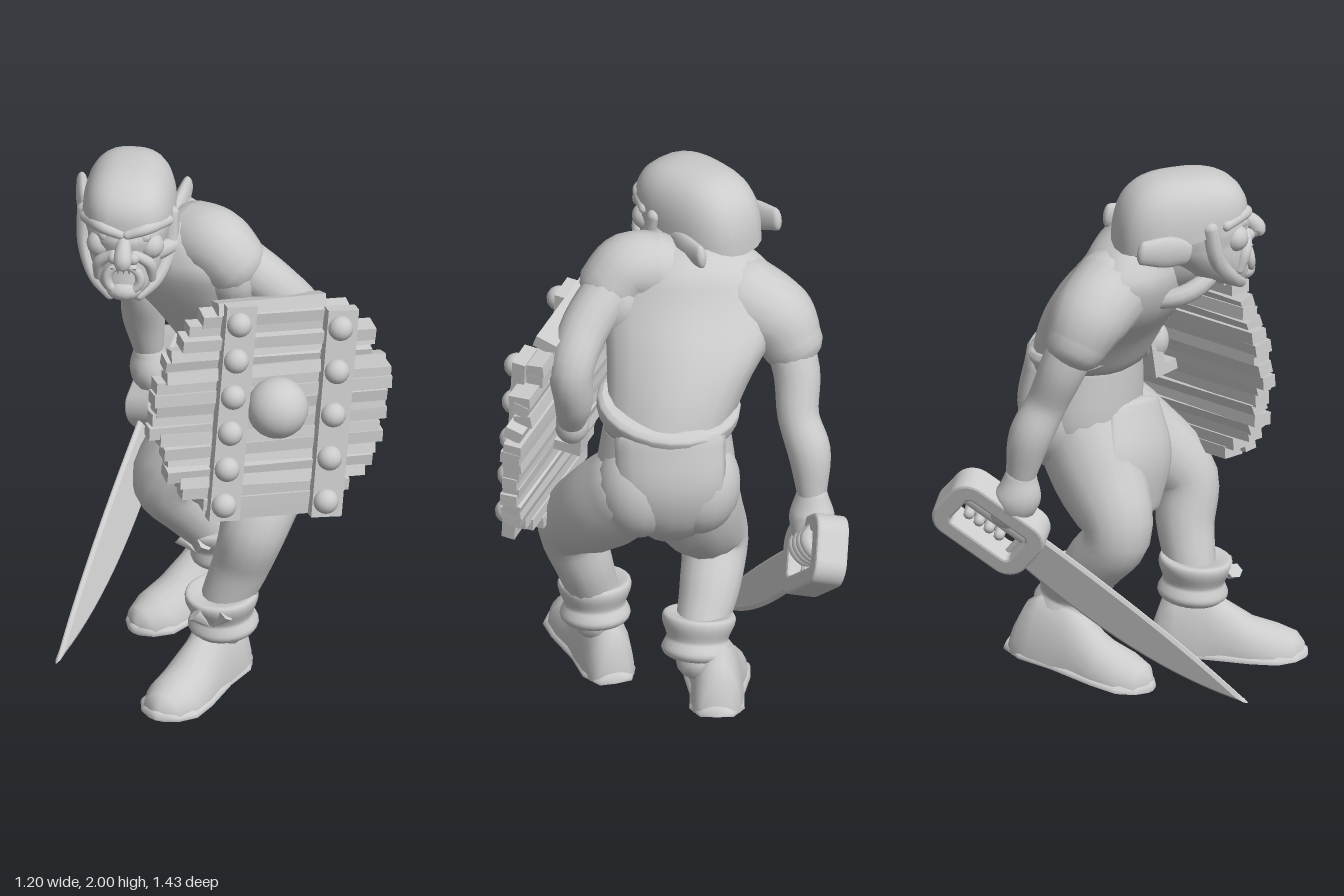
import * as THREE from 'three';

const V = (x, y, z) => new THREE.Vector3(x, y, z);
const material = new THREE.MeshStandardMaterial({ color: 0xcccccc, side: THREE.DoubleSide });
const BODY_YAW = -0.72;

function add(parent, name, geo, pos = [0, 0, 0], rot = [0, 0, 0], scale = [1, 1, 1]) {
  const m = new THREE.Mesh(geo, material);
  m.name = name;
  m.position.set(...pos);
  m.rotation.set(...rot);
  m.scale.set(...scale);
  parent.add(m);
  return m;
}

function group(parent, name, pos, rot = [0, 0, 0], order = 'XYZ') {
  const g = new THREE.Group();
  g.name = name;
  g.position.set(...pos);
  g.rotation.set(...rot, order);
  parent.add(g);
  return g;
}

// Joins a list of point rings into one smooth surface
function skin(rings) {
  const n = rings[0].length, pos = [], idx = [];
  rings.forEach(r => r.forEach(p => pos.push(p.x, p.y, p.z)));
  for (let i = 0; i < rings.length - 1; i++)
    for (let j = 0; j < n; j++) {
      const a = i * n + j, b = i * n + (j + 1) % n;
      idx.push(a, b, b + n, a, b + n, a + n);
    }
  const g = new THREE.BufferGeometry();
  g.setAttribute('position', new THREE.Float32BufferAttribute(pos, 3));
  g.setIndex(idx);
  g.computeVertexNormals();
  return g;
}

function ring(c, A, B, a, b, n = 24, ripple = 0) {
  return Array.from({ length: n }, (_, j) => {
    const t = j / n * Math.PI * 2, k = 1 + ripple * Math.sin(7 * t);
    return c.clone().addScaledVector(A, Math.cos(t) * a * k).addScaledVector(B, Math.sin(t) * b * k);
  });
}

// Horizontal elliptical sections: [x, y, z, half width, half depth]
function loft(rows, yaw = 0, ripple = 0) {
  const F = V(Math.sin(yaw), 0, Math.cos(yaw)), L = V(Math.cos(yaw), 0, -Math.sin(yaw));
  const c = new THREE.CatmullRomCurve3(rows.map(r => V(r[0], r[1], r[2])));
  const s = new THREE.CatmullRomCurve3(rows.map(r => V(r[3], r[4], 0)));
  const rings = [], n = rows.length * 3;
  for (let i = 0; i <= n; i++) {
    const p = c.getPoint(i / n), q = s.getPoint(i / n);
    if (i === 0) rings.push(ring(p, F, L, 0, 0));
    rings.push(ring(p, F, L, q.y, q.x, 24, ripple));
    if (i === n) rings.push(ring(p, F, L, 0, 0));
  }
  return skin(rings);
}

// Round-ended tapering limb through [x, y, z, radius]; flat squeezes it along ref
function limb(pts, { ref = V(0, 0, 1), flat = 1, n = 16, cap = 0.8 } = {}) {
  const c = new THREE.CatmullRomCurve3(pts.map(p => V(p[0], p[1], p[2])));
  const s = new THREE.CatmullRomCurve3(pts.map((p, i) => V(p[3], i, 0)));
  const rings = [], steps = pts.length * 4;
  const put = (t, k) => {
    const d = c.getTangent(t), r = Math.max(0.002, s.getPoint(t).x);
    const A = ref.clone().cross(d).normalize(), B = d.clone().cross(A);
    const p = c.getPoint(t).addScaledVector(d, r * Math.sin(k) * cap);
    rings.push(ring(p, A, B, r * Math.cos(k), r * flat * Math.cos(k), n));
  };
  for (let k = 4; k > 0; k--) put(0, -k * Math.PI / 8);
  for (let i = 0; i <= steps; i++) put(i / steps, 0);
  for (let k = 1; k <= 4; k++) put(1, k * Math.PI / 8);
  return skin(rings);
}

// Foot sections along z: [z, half width, height], flat underneath
function footGeometry(rows) {
  return skin(rows.map(([z, w, h]) => Array.from({ length: 20 }, (_, j) => {
    const t = j / 20 * Math.PI * 2;
    return V(w * Math.cos(t), h * Math.max(0, Math.sin(t)), z);
  })));
}

function boot(parent, name, pos, rot) {
  const g = group(parent, name, pos, rot, 'YXZ');
  add(g, 'shoe', footGeometry([[0, 0, 0], [0.005, 0.06, 0.1], [0.035, 0.085, 0.19], [0.09, 0.095, 0.24], [0.19, 0.095, 0.25], [0.26, 0.095, 0.2],
    [0.36, 0.11, 0.135], [0.45, 0.11, 0.11], [0.52, 0.08, 0.085], [0.55, 0.03, 0.05], [0.555, 0, 0]]));
  add(g, 'sole', footGeometry([[-0.015, 0, 0], [-0.01, 0.06, 0.035], [0.07, 0.1, 0.04], [0.2, 0.098, 0.04], [0.37, 0.12, 0.04],
    [0.47, 0.12, 0.04], [0.53, 0.08, 0.035], [0.56, 0.03, 0.03], [0.565, 0, 0]]));
}

// Folded boot top with a knot in front
function cuff(parent, name, pos, rot) {
  const g = group(parent, name, pos, rot);
  const profile = [[0.06, -0.075], [0.108, -0.075], [0.128, -0.05], [0.118, -0.02], [0.112, 0], [0.13, 0.045], [0.132, 0.075], [0.115, 0.085], [0.06, 0.07]];
  add(g, 'foldedBand', new THREE.LatheGeometry(new THREE.SplineCurve(profile.map(p => new THREE.Vector2(...p))).getPoints(24), 24));
  for (const s of [-1, 1]) add(g, 'knot', new THREE.ConeGeometry(0.03, 0.08, 6), [-0.03 + s * 0.03, 0.03, 0.12], [0, 0, s * 2.4]);
}

function buildHead(model) {
  const head = group(model, 'head', [-0.335, 0, 0]);
  add(head, 'face', loft([[0, 1.56, 0.35, 0.06, 0.05], [0, 1.61, 0.3, 0.105, 0.12], [0, 1.68, 0.25, 0.135, 0.16],
    [0, 1.76, 0.19, 0.15, 0.21], [0, 1.86, 0.17, 0.15, 0.21]]));
  // Boxy domed cap, a little lower at the back
  const dome = new THREE.SphereGeometry(1, 24, 14, 0, Math.PI * 2, 0, Math.PI * 0.5), p = dome.attributes.position;
  const bulge = v => Math.sign(v) * Math.abs(v) ** 0.75;
  for (let i = 0; i < p.count; i++) {
    const x = bulge(p.getX(i)) * 0.168, y = p.getY(i) ** 0.75, z = bulge(p.getZ(i)) * 0.245;
    const base = 1.785 + z * 0.2;
    p.setXYZ(i, x, base + (2 - base) * y, z + 0.155);
  }
  dome.computeVertexNormals();
  add(head, 'cap', dome);
  add(head, 'nape', new THREE.SphereGeometry(1, 20, 12), [0, 1.77, 0.1], [0, 0, 0], [0.15, 0.1, 0.18]);
  add(head, 'nose', limb([[0, 1.81, 0.375, 0.02], [0, 1.775, 0.425, 0.03], [0, 1.74, 0.45, 0.032], [0, 1.73, 0.44, 0.022]], { ref: V(1, 0, 0) }));
  add(head, 'openMouth', new THREE.TorusGeometry(0.06, 0.018, 8, 20), [0, 1.65, 0.405], [-0.1, 0, 0], [1, 0.85, 1]);
  add(head, 'chin', new THREE.SphereGeometry(0.055, 14, 10), [0, 1.6, 0.385], [0, 0, 0], [1.2, 0.75, 1]);
  for (let i = -2; i <= 2; i++)
    for (const [y, r] of [[1.685, Math.PI], [1.613, 0]])
      add(head, 'tooth', new THREE.ConeGeometry(0.012, 0.03, 5), [i * 0.02, y, 0.41], [r, 0, 0]);
  for (const s of [-1, 1]) {
    add(head, 'eye', new THREE.SphereGeometry(0.026, 12, 8), [s * 0.07, 1.805, 0.362]);
    add(head, 'brow', limb([[s * 0.01, 1.825, 0.395, 0.018], [s * 0.08, 1.845, 0.38, 0.022], [s * 0.15, 1.83, 0.28, 0.02]]));
    add(head, 'nostril', new THREE.SphereGeometry(0.024, 10, 8), [s * 0.034, 1.735, 0.405]);
    add(head, 'cheek', new THREE.SphereGeometry(0.05, 12, 10), [s * 0.09, 1.755, 0.335]);
    add(head, 'cheekFold', limb([[s * 0.035, 1.75, 0.4, 0.016], [s * 0.09, 1.7, 0.375, 0.022], [s * 0.095, 1.63, 0.35, 0.018]]));
    add(head, 'cheekGuard', limb([[s * 0.155, 1.83, 0.22, 0.03], [s * 0.15, 1.7, 0.25, 0.03], [s * 0.11, 1.61, 0.32, 0.026], [s * 0.05, 1.565, 0.37, 0.022]], { n: 8 }));
    add(head, 'ear', limb([[s * 0.155, 1.75, 0.13, 0.045], [s * 0.175, 1.77, 0.05, 0.06], [s * 0.19, 1.785, -0.05, 0.045]], { ref: V(1, 0, 0), flat: 0.45, cap: 0.4 }));
  }
}

function buildShield(model) {
  const g = group(model, 'shield', [0.185, 1.135, 0.36]);
  const u = V(0.92, -0.08, -0.38).normalize(), n = u.clone().cross(V(0.05, 0.99, -0.13)).normalize();
  g.setRotationFromMatrix(new THREE.Matrix4().makeBasis(u, n.clone().cross(u), n));
  let seed = 7;
  const rnd = () => (seed = (seed * 16807) % 2147483647) / 2147483647 - 0.5;
  // Rough split planks, trimmed to a round outline
  for (let i = 0; i < 20; i++) {
    const y = -0.4 + i * 0.0415, half = Math.sqrt(0.44 ** 2 - Math.min(0.39, Math.abs(y)) ** 2);
    add(g, 'plank', new THREE.BoxGeometry(half * 2 + rnd() * 0.06, 0.046, 0.07 + rnd() * 0.03),
      [rnd() * 0.04, y, -0.01 + rnd() * 0.02], [rnd() * 0.5, 0, rnd() * 0.04]);
  }
  for (const [x, mid, len, count] of [[-0.155, 0, 0.83, 6], [0.23, -0.03, 0.8, 5]]) {
    const strap = group(g, 'studdedStrap', [x, mid, 0.04], [0, 0, -0.035]);
    add(strap, 'strap', new THREE.BoxGeometry(0.115, len, 0.05));
    for (let i = 0; i < count; i++)
      add(strap, 'stud', new THREE.SphereGeometry(0.046, 14, 10), [-0.01, (i / (count - 1) - 0.5) * (len - 0.13), 0.033]);
  }
  add(g, 'boss', new THREE.SphereGeometry(0.112, 20, 14), [0.012, 0.01, 0.06]);
  add(g, 'handle', new THREE.BoxGeometry(0.07, 0.24, 0.05), [0.06, 0, -0.12]);
  for (const s of [-1, 1]) add(g, 'handleMount', new THREE.BoxGeometry(0.07, 0.04, 0.1), [0.06, s * 0.1, -0.08]);
}

function buildSword(model) {
  const g = group(model, 'sword', [-0.295, 0.625, -0.42]);
  const d = V(-0.29, -0.6, 0.75).normalize(), m = d.clone().cross(V(-0.48, 0.73, 0.4)).normalize();
  g.setRotationFromMatrix(new THREE.Matrix4().makeBasis(d, m.clone().cross(d), m));
  const blade = new THREE.Shape();
  blade.moveTo(-0.03, -0.08);
  blade.quadraticCurveTo(0.62, -0.17, 1.01, -0.01);
  blade.quadraticCurveTo(0.6, 0.06, -0.03, 0.07);
  add(g, 'blade', new THREE.ExtrudeGeometry(blade, { depth: 0.006, bevelSize: 0.012, bevelOffset: -0.012, bevelThickness: 0.009, bevelSegments: 1, curveSegments: 16 }));
  // Closed hand guard with a slot
  const rounded = (S, x, y, w, h, r) => {
    const s = new S();
    s.absarc(x + w - r, y + h - r, r, 0, Math.PI / 2);
    s.absarc(x + r, y + h - r, r, Math.PI / 2, Math.PI);
    s.absarc(x + r, y + r, r, Math.PI, Math.PI * 1.5);
    s.absarc(x + w - r, y + r, r, Math.PI * 1.5, Math.PI * 2);
    return s;
  };
  const guard = rounded(THREE.Shape, -0.33, -0.13, 0.38, 0.24, 0.07);
  guard.holes.push(rounded(THREE.Path, -0.28, -0.085, 0.28, 0.15, 0.03));
  add(g, 'handGuard', new THREE.ExtrudeGeometry(guard, { depth: 0.1, bevelSize: 0.01, bevelThickness: 0.01, bevelSegments: 2 }), [0, 0, -0.05]);
  add(g, 'grip', new THREE.CylinderGeometry(0.036, 0.036, 0.34, 10), [-0.14, 0.03, 0], [0, 0, Math.PI / 2]);
  for (let i = 0; i < 4; i++) {
    const x = -0.225 + i * 0.045;
    add(g, 'finger', limb([[x, 0.08, -0.03, 0.026], [x, 0.03, -0.065, 0.026], [x, -0.02, -0.03, 0.024], [x, -0.02, 0.03, 0.02]], { ref: V(1, 0, 0), n: 8 }));
  }
}

export function createModel() {
  const model = new THREE.Group();
  model.name = 'stoopingWarrior';

  // Hunched trunk, turned toward its right
  add(model, 'hips', loft([[0.03, 0.74, -0.06, 0.1, 0.1], [0.04, 0.85, -0.07, 0.21, 0.17], [0.05, 1.0, -0.07, 0.25, 0.2], [0.04, 1.22, -0.06, 0.22, 0.19]], BODY_YAW));
  add(model, 'shirt', loft([[0.04, 1.18, -0.06, 0.23, 0.2], [-0.04, 1.33, -0.04, 0.26, 0.22], [-0.14, 1.48, 0.0, 0.31, 0.23],
    [-0.19, 1.61, 0.05, 0.32, 0.2], [-0.2, 1.71, 0.07, 0.25, 0.165], [-0.21, 1.78, 0.09, 0.14, 0.11]], BODY_YAW, 0.018));
  add(model, 'belt', loft([[0, -0.04, 0, 0.235, 0.2], [0, -0.025, 0, 0.255, 0.22], [0, 0.025, 0, 0.26, 0.225], [0, 0.045, 0, 0.24, 0.205]], BODY_YAW),
    [0.03, 1.24, -0.06], [-0.26, 0, -0.1]);
  add(model, 'collar', new THREE.TorusGeometry(0.15, 0.035, 10, 28), [-0.27, 1.62, 0.15], [1.15, 0.45, 0], [1, 1.1, 1]);
  add(model, 'neck', limb([[-0.2, 1.62, 0.08, 0.14], [-0.3, 1.67, 0.18, 0.115], [-0.33, 1.76, 0.2, 0.11]]));
  for (const [x, z] of [[0.0, -0.18], [0.17, -0.05]]) add(model, 'buttock', new THREE.SphereGeometry(0.155, 20, 14), [x, 0.96, z], [0, 0, 0], [1, 1.25, 1]);
  add(model, 'backLoincloth', limb([[0.12, 1.19, -0.16, 0.2], [0.14, 1.0, -0.19, 0.19], [0.12, 0.85, -0.17, 0.14], [0.06, 0.74, -0.1, 0.08]],
    { ref: V(-0.66, 0, 0.75), flat: 0.4, cap: 0.3 }));
  add(model, 'frontLoincloth', limb([[-0.06, 1.0, 0.07, 0.15], [-0.12, 0.82, 0.07, 0.19], [-0.135, 0.64, 0.03, 0.18]], { ref: V(-0.82, 0, 0.57), flat: 0.35, cap: 0.2 }));

  // Legs: left steps forward, right trails
  add(model, 'leftLeg', limb([[0.16, 0.95, -0.02, 0.17], [0.17, 0.8, 0.14, 0.165], [0.13, 0.62, 0.33, 0.125], [0.08, 0.45, 0.32, 0.105], [0.02, 0.28, 0.32, 0.09], [0.02, 0.19, 0.31, 0.085]]));
  add(model, 'rightLeg', limb([[0, 0.95, -0.11, 0.18], [-0.1, 0.77, -0.07, 0.17], [-0.22, 0.58, -0.04, 0.125], [-0.14, 0.44, -0.1, 0.11], [-0.04, 0.3, -0.15, 0.09], [0.0, 0.22, -0.19, 0.085]]));
  cuff(model, 'leftCuff', [0.015, 0.265, 0.33], [0.08, 0, 0.05]);
  cuff(model, 'rightCuff', [-0.03, 0.3, -0.15], [0.25, -0.5, 0.25]);
  boot(model, 'leftBoot', [0.055, 0, 0.185], [0, -0.46, 0]);
  boot(model, 'rightBoot', [0.06, 0.08, -0.34], [0.145, -0.78, 0]);

  // Right arm and sword hand
  add(model, 'rightSleeve', limb([[-0.31, 1.58, -0.08, 0.15], [-0.38, 1.5, -0.2, 0.14], [-0.4, 1.41, -0.26, 0.115]]));
  add(model, 'rightArm', limb([[-0.38, 1.5, -0.22, 0.09], [-0.38, 1.32, -0.3, 0.085], [-0.34, 1.17, -0.35, 0.075], [-0.335, 1.05, -0.41, 0.078], [-0.32, 0.9, -0.44, 0.055]]));
  add(model, 'rightHand', limb([[-0.32, 0.89, -0.44, 0.055], [-0.31, 0.81, -0.45, 0.078], [-0.28, 0.74, -0.48, 0.065]], { flat: 1.1 }));

  // Left arm behind the shield
  add(model, 'leftSleeve', limb([[-0.1, 1.68, 0.13, 0.135], [-0.02, 1.69, 0.19, 0.13], [0.05, 1.63, 0.22, 0.12]]));
  add(model, 'sleeveDrape', limb([[0.0, 1.72, 0.2, 0.08], [0.05, 1.58, 0.2, 0.11], [0.03, 1.45, 0.17, 0.07]], { flat: 1.1 }));
  add(model, 'leftArm', limb([[0.02, 1.66, 0.2, 0.1], [0.19, 1.53, 0.2, 0.09], [0.29, 1.4, 0.17, 0.08], [0.27, 1.26, 0.18, 0.07], [0.24, 1.16, 0.22, 0.055]]));
  add(model, 'leftHand', new THREE.SphereGeometry(0.07, 14, 10), [0.22, 1.12, 0.24], [0, 0, 0], [0.9, 1.1, 0.9]);

  buildHead(model);
  buildShield(model);
  buildSword(model);
  return model;
}
